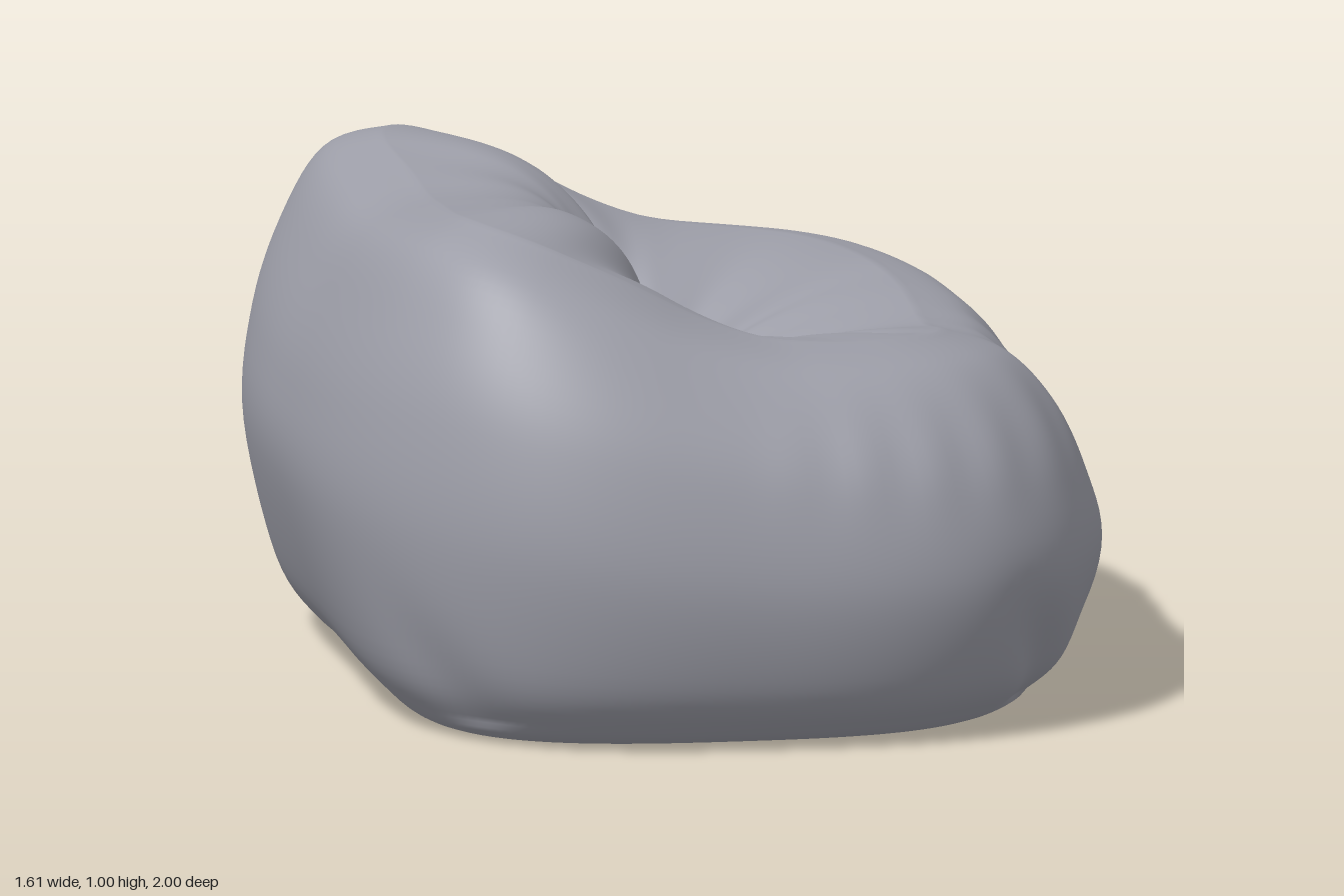
import * as THREE from 'three';

const DEG = Math.PI / 180;
const ANGLES = 240, WALL = 60, TOP = 60;
const DIMPLE = { x: -0.05, y: 0.54 };
const RIM = 0.62; // share of the outline where the top cushion begins

// Wall profiles from the base centre to the rim: share of outline, share of rim height
const profile = (pts) => new THREE.SplineCurve(pts.map((p) => new THREE.Vector2(...p)));
const seatWall = profile([[0, 0], [0.4, 0], [0.71, 0], [0.83, 0.06], [0.93, 0.18], [1, 0.43], [0.96, 0.62], [0.88, 0.81], [0.77, 0.945], [RIM, 1]]);
const sideWall = profile([[0, 0], [0.5, 0], [0.78, 0], [0.89, 0.06], [0.96, 0.18], [1, 0.42], [0.967, 0.67], [0.89, 0.84], [0.78, 0.955], [RIM, 1]]);
const backWall = profile([[0, 0], [0.4, 0], [0.66, 0], [0.79, 0.05], [0.9, 0.165], [1, 0.45], [0.98, 0.64], [0.9, 0.81], [0.79, 0.95], [RIM, 1]]);

// Rim height by angle away from the seat front (degrees, height)
const rimTable = [[0, 0.67], [30, 0.72], [55, 0.755], [75, 0.765], [90, 0.79], [105, 0.88], [118, 0.965], [130, 1.015], [150, 0.99], [180, 0.965]];
function rimHeight(phi) {
  const d = Math.abs(phi) / DEG;
  let i = 0;
  while (i < rimTable.length - 2 && d > rimTable[i + 1][0]) i++;
  const [a, ha] = rimTable[i], [b, hb] = rimTable[i + 1];
  return THREE.MathUtils.lerp(ha, hb, (d - a) / (b - a));
}
// Averaged so the ridge has no kinks
function smoothRim(phi) {
  let sum = 0;
  for (let k = -4; k <= 4; k++) {
    const a = phi + k * 2.5 * DEG;
    sum += rimHeight(Math.atan2(Math.sin(a), Math.cos(a)));
  }
  return sum / 9;
}

const gauss = (v, w) => Math.exp(-(v * v) / (w * w));
const turn = (a, b) => Math.atan2(Math.sin(a - b), Math.cos(a - b)) / DEG;

// Rounded-rectangle outline radius, with each corner a little fuller or slacker
const corners = [[-48, -0.035], [50, -0.02], [126, -0.02], [-129, 0.025]];
function outline(phi) {
  let r = Math.pow(Math.pow(Math.abs(Math.cos(phi)) / 0.805, 3.1) + Math.pow(Math.abs(Math.sin(phi)), 3.1), -1 / 3.1);
  for (const [a, change] of corners) r += change * gauss(turn(phi, a * DEG), 17);
  return r;
}

// Exponent that squares up the corners, most of all beside the backrest
function cornerPower(phi) {
  const d = Math.abs(phi) / DEG;
  return 1 - 0.27 * gauss(d - 129, 20) - 0.06 * gauss(d - 52, 22);
}

// Gathered folds on top: angle, depth, width, how far the fold curls with radius (degrees)
const folds = [
  [0, 0.008, 9, 4], [22, 0.006, 7, 0], [44, 0.022, 6, 0], [66, 0.01, 7, 6], [92, 0.025, 6, -10],
  [92, 0.04, 7, 26], [150, 0.01, 12, 0], [-150, 0.01, 12, 0], [-88, 0.045, 7, -24],
  [-92, 0.02, 6, 0], [-62, 0.01, 8, 0], [-38, 0.016, 7, 3], [-18, 0.006, 7, 0],
];
function foldDepth(phi, g) {
  const reach = Math.sin(Math.PI * Math.pow(g, 0.8));
  let d = 0;
  for (const [a, depth, w, curl] of folds) d += depth * gauss(turn(phi, (a + curl * g) * DEG), w);
  return d * reach;
}

// Pinches where the wall meets the base: angle, height, depth, width
const pinches = [[50, 0.14, 0.03, 5], [-47, 0.16, 0.025, 6], [128, 0.12, 0.015, 6], [-128, 0.12, 0.015, 6], [30, 0.1, 0.012, 7]];
function wallPinch(phi, y) {
  let d = 0;
  for (const [a, h, depth, w] of pinches) d += depth * gauss(turn(phi, (a + (y - h) * 40) * DEG), w) * gauss(y - h, 0.13);
  // Soft puckers below the seat rim
  const front = THREE.MathUtils.smoothstep(Math.cos(phi), -0.1, 0.4);
  return d + 0.004 * front * gauss(y - 0.58, 0.09) * Math.sin(phi * 31 + 2 * Math.sin(phi * 5));
}

function wallPoint(phi, t) {
  const c = Math.cos(phi);
  const wSeat = c > 0 ? c * c : 0, wBack = c < 0 ? c * c : 0, wSide = 1 - c * c;
  const p = new THREE.Vector2()
    .addScaledVector(seatWall.getPoint(t), wSeat)
    .addScaledVector(sideWall.getPoint(t), wSide)
    .addScaledVector(backWall.getPoint(t), wBack);
  const y = Math.max(0, p.y * smoothRim(phi));
  const share = Math.pow(Math.max(0, p.x), cornerPower(phi));
  const r = outline(phi) * share - (t > 0.3 ? wallPinch(phi, y) : 0);
  return [r * c, y, r * Math.sin(phi)];
}

// Top cushion falling from the rim (g = 1) into the dimple (g = 0).
// The backrest bulges forward, ending at a crease that curls out to both sides.
function topPoint(phi, g) {
  const r = outline(phi) * Math.pow(RIM, cornerPower(phi)) * g;
  const crease = 91 + 25 * g;
  const bulge = THREE.MathUtils.smoothstep(Math.abs(phi) / DEG, crease - 10, crease + 18);
  const steep = THREE.MathUtils.lerp(2.1, 4, bulge);
  const rise = 1 - Math.pow(1 - g, steep);
  const y = DIMPLE.y + (smoothRim(phi) - DIMPLE.y) * rise - foldDepth(phi, g);
  return [r * Math.cos(phi) + DIMPLE.x * (1 - g), y, r * Math.sin(phi)];
}

function bagGeometry() {
  const pos = [], index = [];
  const rings = WALL + TOP;
  for (let j = 0; j <= rings; j++) {
    for (let i = 0; i < ANGLES; i++) {
      const phi = (i / ANGLES) * Math.PI * 2 - Math.PI;
      pos.push(...(j <= WALL ? wallPoint(phi, j / WALL) : topPoint(phi, 1 - (j - WALL) / TOP)));
    }
  }
  for (let j = 0; j < rings; j++) {
    for (let i = 0; i < ANGLES; i++) {
      const n = (i + 1) % ANGLES;
      const a = j * ANGLES + i, b = j * ANGLES + n, c = a + ANGLES, d = b + ANGLES;
      if (j < rings - 1) index.push(c, d, b);
      if (j > 0) index.push(a, c, b);
    }
  }
  const geo = new THREE.BufferGeometry();
  geo.setAttribute('position', new THREE.Float32BufferAttribute(pos, 3));
  geo.setIndex(index);
  geo.computeVertexNormals();
  return geo;
}

export function createModel() {
  const group = new THREE.Group();
  group.name = 'beanBagChair';
  const fabric = new THREE.MeshStandardMaterial({ color: 0x9d9ea8 });
  fabric.name = 'grey fabric';

  const bag = new THREE.Mesh(bagGeometry(), fabric);
  bag.name = 'bag';
  group.add(bag);

  // Small knot where the folds gather
  const knot = new THREE.Mesh(new THREE.SphereGeometry(0.025, 20, 14), fabric);
  knot.name = 'gatherKnot';
  knot.position.set(DIMPLE.x, DIMPLE.y + 0.008, 0);
  group.add(knot);
  return group;
}
